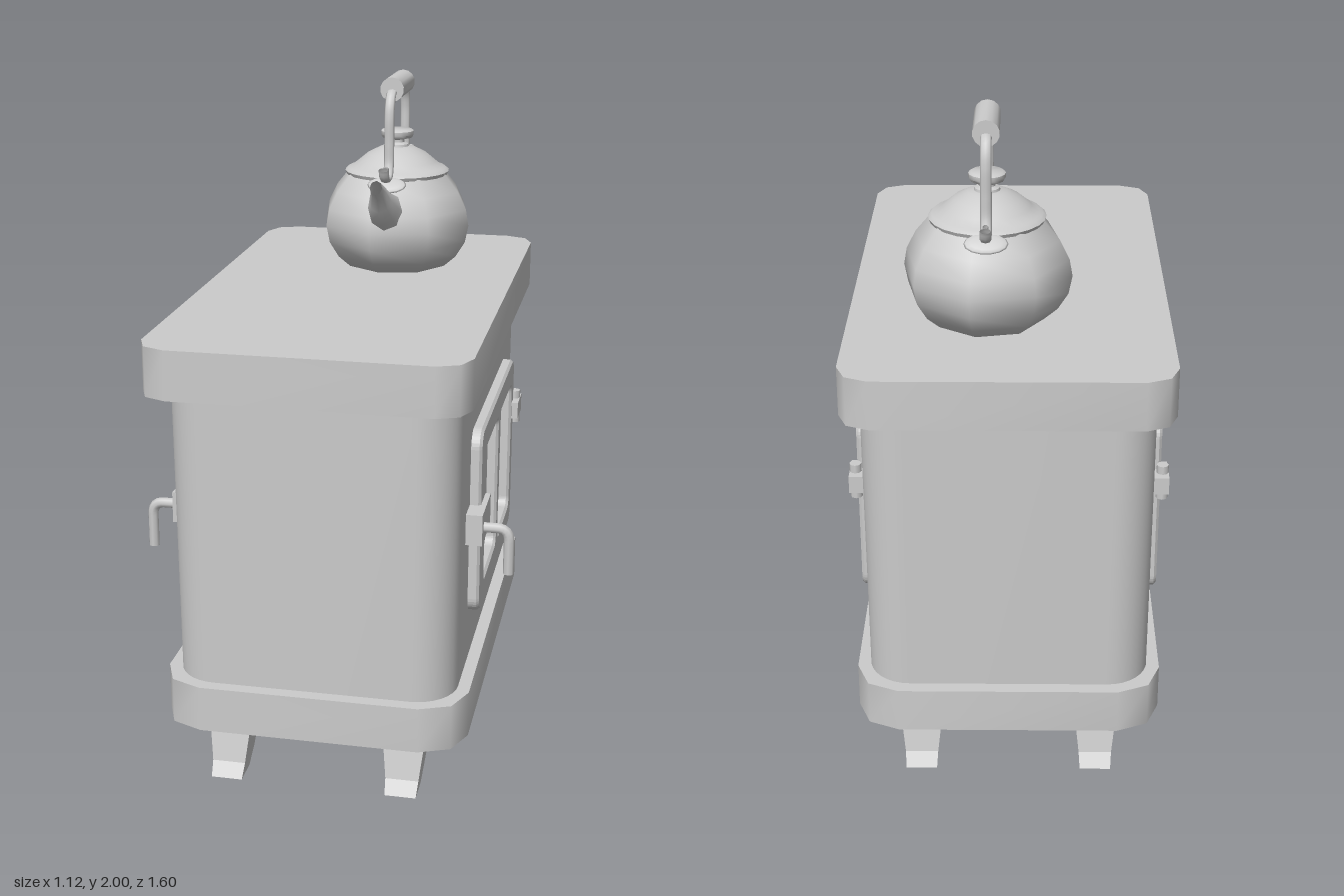
import * as THREE from 'three';
import { toCreasedNormals } from 'three/addons/utils/BufferGeometryUtils.js';

const V = (x, y, z) => new THREE.Vector3(x, y, z);
const iron = new THREE.MeshStandardMaterial({ color: 0xcccccc, side: THREE.DoubleSide });
iron.name = 'grey iron';

function add(parent, name, geometry, x = 0, y = 0, z = 0) {
  const mesh = new THREE.Mesh(geometry, iron);
  mesh.name = name;
  mesh.position.set(x, y, z);
  parent.add(mesh);
  return mesh;
}

// Skin over a list of rings with equal point counts
function loft(rings, crease = 0.87) {
  const n = rings[0].length;
  const index = [];
  for (let r = 0; r < rings.length - 1; r++) {
    for (let i = 0; i < n; i++) {
      const a = r * n + i, b = r * n + (i + 1) % n;
      index.push(a, a + n, b, b, a + n, b + n);
    }
  }
  const geometry = new THREE.BufferGeometry().setFromPoints(rings.flat());
  geometry.setIndex(index);
  return toCreasedNormals(geometry, crease);
}

// Horizontal rounded rectangle ring
function slab(hx, hz, radius, y, steps) {
  const ring = [];
  [[1, 1], [-1, 1], [-1, -1], [1, -1]].forEach(([sx, sz], corner) => {
    for (let i = 0; i <= steps; i++) {
      const t = (corner + i / steps) * Math.PI / 2;
      ring.push(V(sx * (hx - radius) + radius * Math.cos(t), y, sz * (hz - radius) + radius * Math.sin(t)));
    }
  });
  return ring;
}

const collapse = (ring, y) => ring.map(() => V(0, y, 0));

// Rounded rectangle outline for the doors
function roundRect(path, cx, cy, w, h, r) {
  const corners = [[1, 1], [-1, 1], [-1, -1], [1, -1]];
  corners.forEach(([sx, sy], k) => {
    path.absarc(cx + sx * (w / 2 - r), cy + sy * (h / 2 - r), r, k * Math.PI / 2, (k + 1) * Math.PI / 2, false);
  });
  path.closePath();
  return path;
}

function makeLeg() {
  const ring = (y, z0, z1, w) => [V(w, y, z0), V(w, y, z1), V(-w, y, z1), V(-w, y, z0)];
  const top = ring(0.2, 0.45, 0.598, 0.068);
  const foot = ring(0, 0.575, 0.665, 0.047);
  const cap = (r, y, z) => r.map(() => V(0, y, z));
  return loft([cap(foot, 0, 0.62), foot, ring(0.04, 0.527, 0.635, 0.05), top, cap(top, 0.2, 0.52)], 0.4);
}

// Door with two panes, latch and hinge; s = 1 for the +x side, -1 for the other
function makeDoor(s) {
  const door = new THREE.Group();
  door.name = s > 0 ? 'leftDoor' : 'rightDoor';
  door.rotation.y = s * Math.PI / 2;
  door.position.x = s * 0.42;

  const shape = roundRect(new THREE.Shape(), s * 0.008, 0.775, 0.79, 0.565, 0.045);
  shape.holes.push(
    roundRect(new THREE.Path(), -s * 0.1425, 0.77, 0.305, 0.44, 0.035),
    roundRect(new THREE.Path(), s * 0.2, 0.77, 0.31, 0.44, 0.035));
  const frame = new THREE.ExtrudeGeometry(shape, {
    depth: 0.026, curveSegments: 4, bevelEnabled: true, bevelSegments: 1, bevelSize: 0.008, bevelThickness: 0.008,
  });
  add(door, 'doorFrame', frame);

  add(door, 'latchPlate', new THREE.BoxGeometry(0.185, 0.095, 0.05), -s * 0.3825, 0.793, 0.025);

  // L-shaped latch lever
  const lever = new THREE.CurvePath();
  const u = -s * 0.435;
  lever.add(new THREE.LineCurve3(V(u, 0.79, 0.03), V(u, 0.79, 0.09)));
  lever.add(new THREE.QuadraticBezierCurve3(V(u, 0.79, 0.09), V(u, 0.79, 0.125), V(u, 0.75, 0.125)));
  lever.add(new THREE.LineCurve3(V(u, 0.75, 0.125), V(u, 0.65, 0.125)));
  add(door, 'latchLever', new THREE.TubeGeometry(lever, 20, 0.016, 8, false));
  add(door, 'latchLeverEnd', new THREE.CylinderGeometry(0.016, 0.016, 0.004, 8), u, 0.651, 0.125);

  add(door, 'hingePlate', new THREE.BoxGeometry(0.105, 0.055, 0.055), s * 0.417, 0.887, 0.0275);
  add(door, 'hingePin', new THREE.CylinderGeometry(0.018, 0.018, 0.11, 8), s * 0.43, 0.885, 0.037);
  return door;
}

function makeKettle() {
  const kettle = new THREE.Group();
  kettle.name = 'kettle';
  kettle.position.set(0.062, 1.386, -0.345);
  const lathe = (points, sides, start = 0) => toCreasedNormals(
    new THREE.LatheGeometry(points.map(([r, y]) => new THREE.Vector2(r, y)), sides, start), 0.9);

  add(kettle, 'kettleBody', lathe([[0, 0], [0.165, 0], [0.205, 0.035], [0.236, 0.085], [0.247, 0.14],
    [0.238, 0.19], [0.21, 0.245], [0.16, 0.305]], 8, -0.19));
  add(kettle, 'lid', lathe([[0.14, 0.29], [0.163, 0.295], [0.168, 0.306], [0.158, 0.315], [0.148, 0.317],
    [0.125, 0.335], [0.095, 0.36], [0.055, 0.38], [0, 0.388]], 24));
  add(kettle, 'lidKnob', lathe([[0.038, 0.38], [0.036, 0.39], [0.024, 0.396], [0.024, 0.405], [0.048, 0.411],
    [0.053, 0.42], [0.053, 0.432], [0.046, 0.437], [0, 0.437]], 16));

  // Curved tapering spout
  const stations = [[0.17, 0.195, 0.07], [0.235, 0.225, 0.058], [0.285, 0.258, 0.042],
    [0.32, 0.292, 0.028], [0.362, 0.313, 0.023]];
  const spoutPath = new THREE.CatmullRomCurve3(stations.map(([z, y]) => V(0, y, z)));
  const rings = stations.map(([z, y, r], k) => {
    const axis = spoutPath.getTangent(k / (stations.length - 1));
    const side = V(1, 0, 0), up = axis.clone().cross(side);
    return Array.from({ length: 8 }, (_, i) => {
      const t = i * Math.PI / 4;
      return V(0, y, z).addScaledVector(up, r * Math.cos(t)).addScaledVector(side, r * 0.85 * Math.sin(t));
    });
  });
  add(kettle, 'spout', loft(rings, 1.2));

  // Handle arms with scrolled feet and ear plates, front and back
  for (const s of [1, -1]) {
    const path = [[0.237, 0.345], [0.222, 0.318], [0.195, 0.307], [0.165, 0.312], [0.147, 0.345],
      [0.143, 0.41], [0.143, 0.49], [0.135, 0.53], [0.115, 0.56], [0.085, 0.57]];
    const arm = new THREE.TubeGeometry(new THREE.CatmullRomCurve3(path.map(([z, y]) => V(0, y, s * z))), 36, 0.01, 8);
    arm.scale(1.6, 1, 1);
    add(kettle, 'handleArm', arm);

    const curl = new THREE.CatmullRomCurve3([V(0, 0.312, s * 0.17), V(0, 0.32, s * 0.185), V(0, 0.342, s * 0.192)]);
    add(kettle, 'handleScroll', new THREE.TubeGeometry(curl, 8, 0.008, 6));

    const ear = new THREE.SphereGeometry(1, 14, 8);
    ear.scale(0.062, 0.01, 0.034);
    add(kettle, 'handleEar', ear, 0, 0.288, s * 0.182).rotation.x = s * 0.65;
  }
  const grip = new THREE.CylinderGeometry(0.038, 0.038, 0.2, 14);
  grip.rotateX(Math.PI / 2);
  add(kettle, 'handleGrip', toCreasedNormals(grip, 0.9), 0, 0.575, 0);
  return kettle;
}

export function createModel() {
  const stove = new THREE.Group();
  stove.name = 'stove';

  // Tabletop: a tray open from below
  const topRing = slab(0.467, 0.8, 0.092, 1.386, 2);
  add(stove, 'tabletop', loft([slab(0.467, 0.8, 0.092, 1.24, 2), topRing, collapse(topRing, 1.386)]));

  // Firebox: a hollow shell with rounded corners
  add(stove, 'firebox', loft([slab(0.42, 0.685, 0.125, 0.32, 8), slab(0.422, 0.705, 0.125, 1.386, 8)]));

  // Base skirt with a ledge around the firebox
  add(stove, 'baseSkirt', loft([slab(0.457, 0.725, 0.13, 0.19, 2), slab(0.457, 0.725, 0.13, 0.33, 2),
    slab(0.41, 0.675, 0.12, 0.33, 2)]));

  // Splayed legs
  const leg = makeLeg();
  for (const x of [-0.267, 0.267]) {
    add(stove, 'frontLeg', leg, x);
    add(stove, 'backLeg', leg, x).rotation.y = Math.PI;
  }

  stove.add(makeDoor(1), makeDoor(-1), makeKettle());
  return stove;
}
